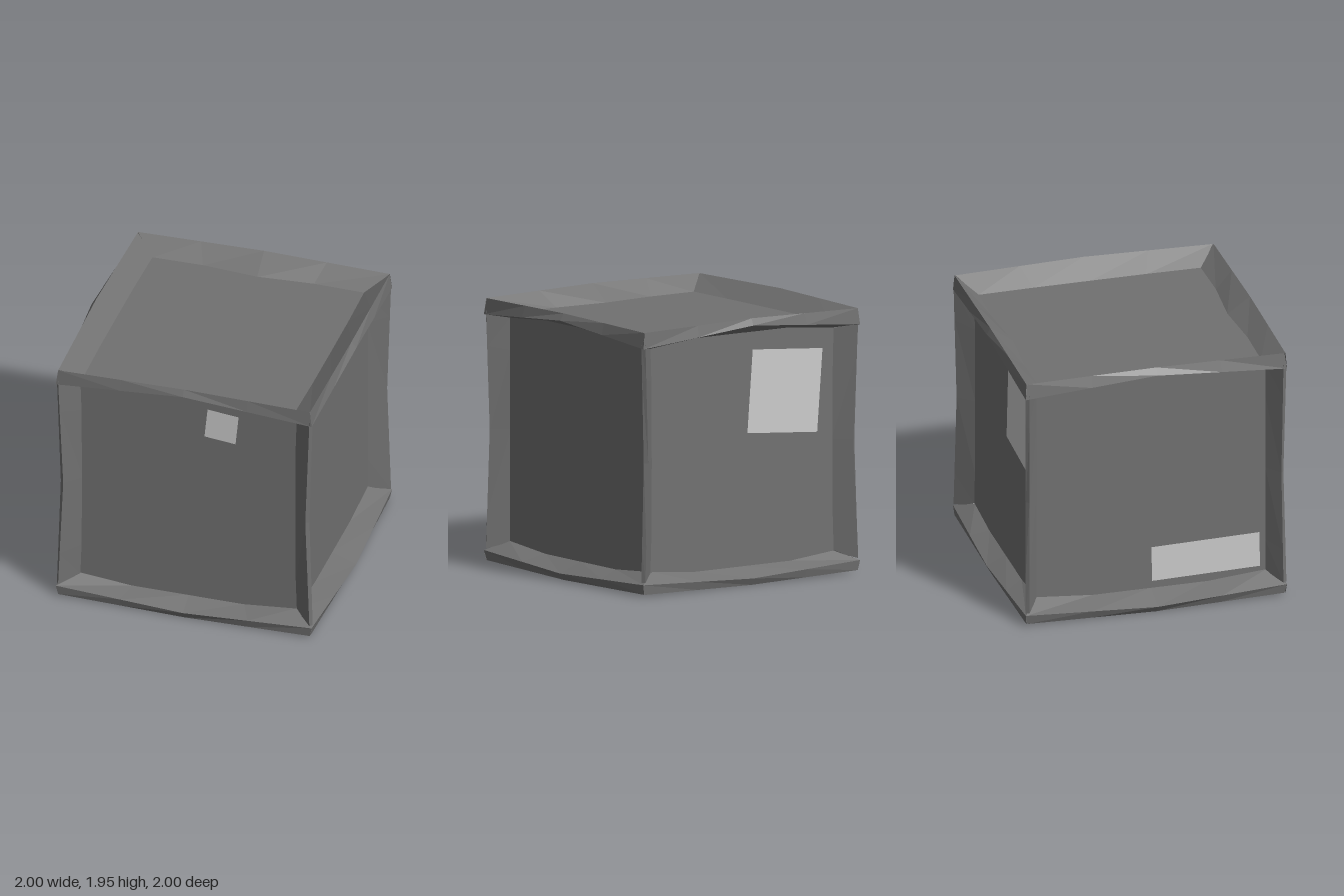
import * as THREE from 'three';

const H = 0.975; // half height of the crate

export function createModel() {
  const group = new THREE.Group();
  const bodyMat = new THREE.MeshStandardMaterial({ color: 0x717171, flatShading: true, side: THREE.DoubleSide });
  const labelMat = new THREE.MeshStandardMaterial({ color: 0xcccccc, side: THREE.DoubleSide });

  // Skin a row of four-point cross-sections; place() mirrors or swaps axes
  function loft(name, sections, place, flip) {
    const pos = sections.flat().flatMap(place);
    const idx = [];
    for (let i = 0; i < sections.length - 1; i++) {
      for (let j = 0; j < 4; j++) {
        const a = i * 4 + j, b = i * 4 + (j + 1) % 4;
        const c = b + 4, d = a + 4;
        if (flip) idx.push(a, c, b, a, d, c);
        else idx.push(a, b, c, a, c, d);
      }
    }
    let geo = new THREE.BufferGeometry();
    geo.setAttribute('position', new THREE.Float32BufferAttribute(pos, 3));
    geo.setIndex(idx);
    geo = geo.toNonIndexed();
    geo.computeVertexNormals();
    const mesh = new THREE.Mesh(geo, bodyMat);
    mesh.name = name;
    mesh.position.y = H;
    group.add(mesh);
  }

  // Recessed body whose faces are the panels
  const body = new THREE.Mesh(new THREE.BoxGeometry(1.64, 1.71, 1.72), bodyMat);
  body.name = 'body';
  body.position.y = H;
  group.add(body);

  // Horizontal beam, bulging at the middle and mitred at the ends.
  // Points: upper root, upper ridge, outer ridge, side root.
  const beam = (r, lipEnd, endTop, endSide) => [-1, -0.5, 0, 0.5, 1].map((t) => {
    const k = Math.abs(t), s = Math.sign(t), mix = (a, b) => a + (b - a) * k;
    const end = k === 1, mid = k === 0;
    return [
      [end ? s * endTop : t * 0.84, 0.853, mid ? r.topMid : end ? r.top : r.top + 0.007],
      [t * 0.952, mix(0.975, 0.958), mix(r.ridge, r.ridgeEnd)],
      [t * 0.967, mix(0.925, lipEnd), mix(1, r.lipEnd)],
      [end ? s * endSide : t * 0.84, end ? 0.815 : 0.853, r.side],
    ];
  });
  const alongX = { topMid: 0.805, top: 0.83, ridge: 0.975, ridgeEnd: 0.972, lipEnd: 0.98, side: 0.857 };
  const alongZ = { topMid: 0.805, top: 0.797, ridge: 0.965, ridgeEnd: 0.952, lipEnd: 0.967, side: 0.817 };

  for (const sy of [1, -1]) {
    const lipEnd = sy > 0 ? 0.84 : 0.885;
    for (const s of [1, -1]) {
      const level = sy > 0 ? 'top' : 'bottom';
      loft(level + (s > 0 ? 'FrontBeam' : 'BackBeam'), beam(alongX, lipEnd, 0.8, 0.815),
        ([x, y, z]) => [x, y * sy, z * s], sy * s < 0);
      loft(level + (s > 0 ? 'LeftBeam' : 'RightBeam'), beam(alongZ, lipEnd, 0.83, 0.86),
        ([u, y, v]) => [v * s, y * sy, u * 1.013], sy * s > 0);
    }
  }

  // Corner posts, pinched at mid height
  const post = [-1, -0.7, 0, 0.7, 1].map((t) => {
    const k = Math.abs(t), mix = (a, b) => a + (b - a) * k;
    const yRoot = t * 0.825, yTip = t * 0.87;
    return [
      [k === 1 ? 0.815 : mix(0.803, 0.808), yRoot, 0.857],
      [mix(0.915, 0.95), yTip, mix(0.967, 0.98)],
      [mix(0.94, 0.967), yTip, mix(0.945, 0.953)],
      [0.817, yRoot, 0.857],
    ];
  });
  for (const sx of [1, -1]) {
    for (const sz of [1, -1]) {
      loft((sz > 0 ? 'front' : 'back') + (sx > 0 ? 'Left' : 'Right') + 'Post', post,
        ([x, y, z]) => [x * sx, y, z * sz], sx * sz < 0);
    }
  }

  // Flat blank labels stuck on the panels
  function label(name, w, h, position, turn, tilt) {
    const mesh = new THREE.Mesh(new THREE.PlaneGeometry(w, h), labelMat);
    mesh.name = name;
    mesh.position.set(...position);
    mesh.rotation.set(0, turn, tilt);
    group.add(mesh);
  }
  label('frontLabel', 0.236, 0.236, [0.25, 1.61, 0.864], 0, -0.1);
  label('backLabel', 0.625, 0.61, [-0.38, 1.37, -0.864], Math.PI, -0.078);
  label('sideLabel', 0.81, 0.27, [-0.824, 0.32, 0.41], -Math.PI / 2, 0.02);

  return group;
}
